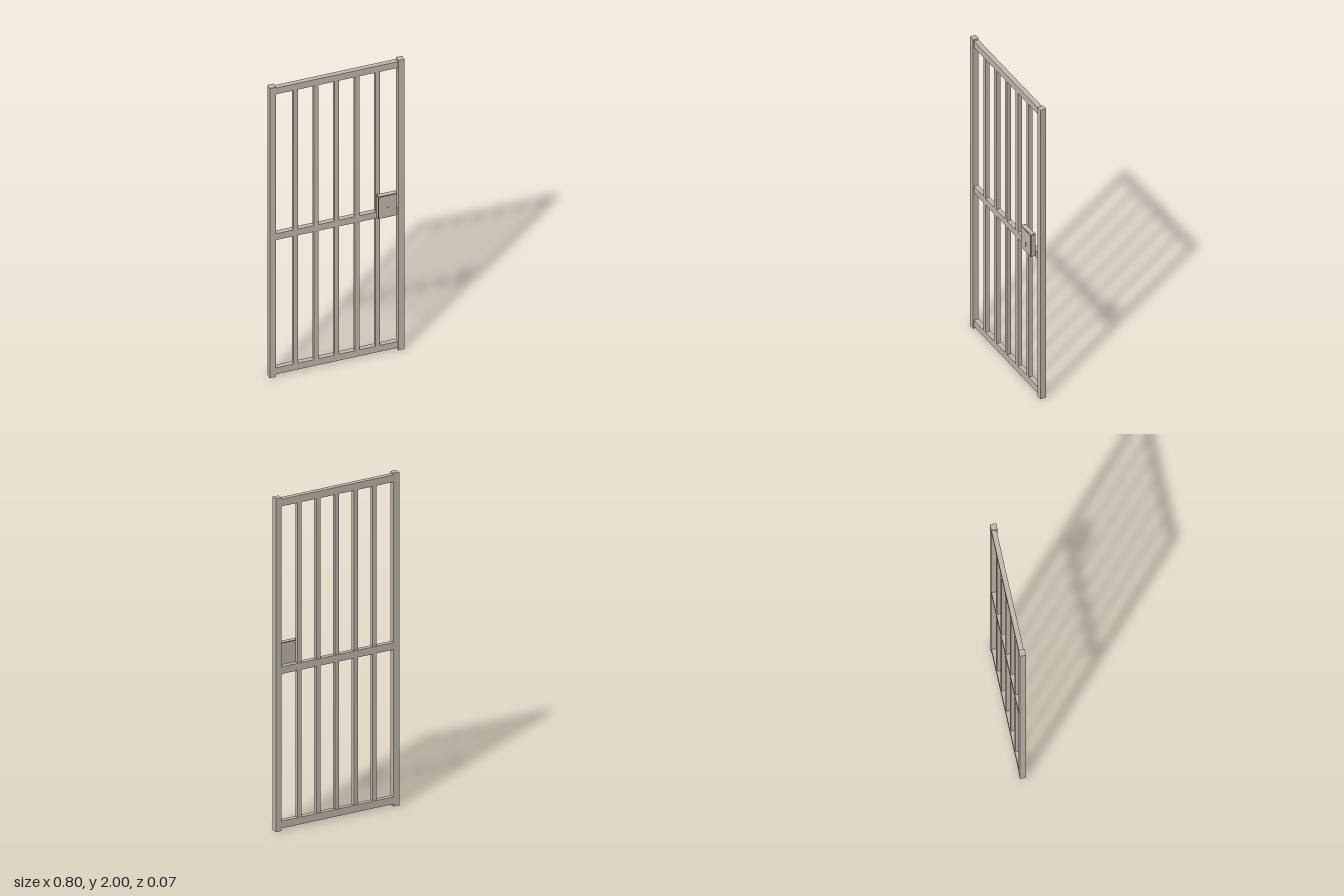
import * as THREE from 'three';
import { RoundedBoxGeometry } from 'three/addons/geometries/RoundedBoxGeometry.js';

export function createModel() {
  const group = new THREE.Group();
  const material = (name, color) => {
    const m = new THREE.MeshStandardMaterial({ color });
    m.name = name;
    return m;
  };
  const steel = material('warm grey steel', 0xc2baac);
  const dark = material('dark steel', 0x484642);

  // Box faces run +x, -x, +y, -y, +z, -z: only the underside is dark
  const darkBelow = [steel, steel, steel, dark, steel, steel];

  const add = (name, geometry, mat, x, y, z) => {
    const mesh = new THREE.Mesh(geometry, mat);
    mesh.name = name;
    mesh.position.set(x, y, z);
    group.add(mesh);
    return mesh;
  };

  const zMid = -0.018;

  // Side posts
  for (const side of [-1, 1]) {
    const name = side < 0 ? 'rightPost' : 'leftPost';
    add(name, new THREE.BoxGeometry(0.037, 2, 0.036), darkBelow, side * 0.3825, 1, zMid);
  }

  // Horizontal rails between the posts
  const rails = { bottomRail: 0.036, middleRail: 0.962, topRail: 1.968 };
  for (const [name, y] of Object.entries(rails)) {
    add(name, new THREE.BoxGeometry(0.732, 0.043, 0.029), darkBelow, 0, y, zMid - 0.002);
  }

  // Vertical bars, one run below and one above the middle rail
  for (let i = -2; i <= 2; i++) {
    for (const [name, y0, y1] of [['lowerBar', 0.057, 0.941], ['upperBar', 0.983, 1.947]]) {
      add(name, new THREE.BoxGeometry(0.026, y1 - y0, 0.026), steel, i * 0.122, (y0 + y1) / 2, zMid);
    }
  }

  // Lock case: dark softened edges, with steel faces standing just proud of them
  const size = [0.113, 0.152, 0.032];
  add('lockEdges', new RoundedBoxGeometry(...size, 2, 0.004), dark, 0.29, 1.035, 0.016);
  for (let axis = 0; axis < 3; axis++) {
    const dims = size.map((s, i) => (i === axis ? s + 0.0006 : s - 0.006));
    add('lockFaces', new THREE.BoxGeometry(...dims), darkBelow, 0.29, 1.035, 0.016);
  }

  // Keyhole: round boss with a slot below
  const boss = add('keyholeBoss', new THREE.CylinderGeometry(0.006, 0.006, 0.005, 16), steel, 0.29, 1.025, 0.033);
  boss.rotation.x = Math.PI / 2;
  add('keyholeSlot', new THREE.BoxGeometry(0.005, 0.024, 0.004), steel, 0.29, 1.012, 0.033);

  return group;
}
